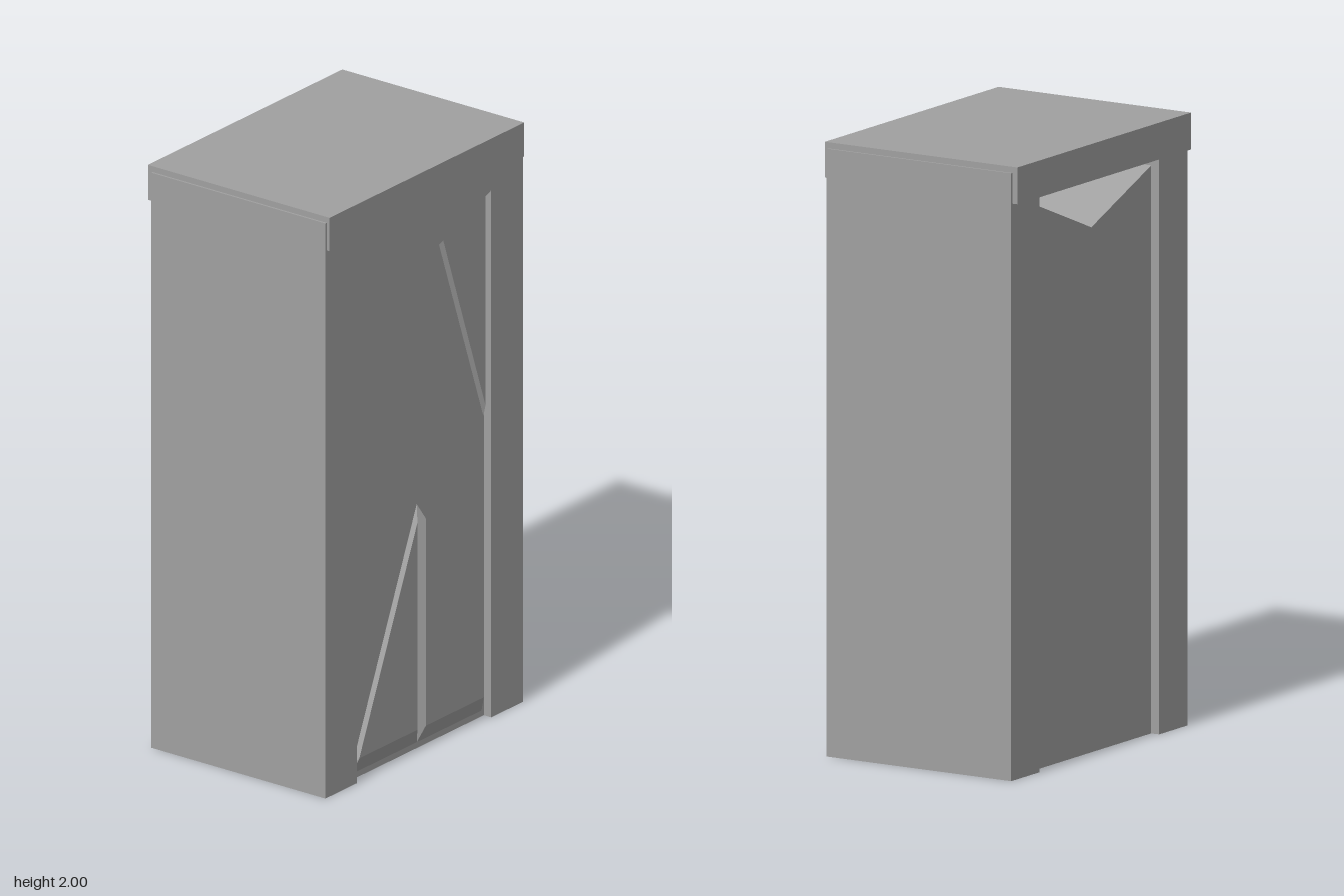
import * as THREE from 'three';

const FRONT = 0.355, BACK = -0.347;          // pillar faces
const PANEL_FRONT = 0.325, PANEL_BACK = -0.317; // recessed panel faces

const toShape = (pts) => new THREE.Shape(pts.map(([x, y]) => new THREE.Vector2(x, y)));

// Straight plate: outline extruded from z0 to z1
function slab(pts, z0, z1) {
  const geo = new THREE.ExtrudeGeometry(toShape(pts), { depth: z1 - z0, bevelEnabled: false });
  return geo.translate(0, 0, z0);
}

// Bevelled plate: base outline at z0 joined to a smaller face outline at z1
// (both counter-clockwise seen from the front)
function bevelled(base, face, z0, z1) {
  const pos = [];
  const n = base.length;
  const b = (i) => [...base[i % n], z0];
  const f = (i) => [...face[i % n], z1];
  for (let i = 0; i < n; i++) {
    pos.push(...b(i), ...b(i + 1), ...f(i + 1), ...b(i), ...f(i + 1), ...f(i));
    if (i > 0 && i < n - 1) pos.push(...f(0), ...f(i), ...f(i + 1));
  }
  const geo = new THREE.BufferGeometry();
  geo.setAttribute('position', new THREE.Float32BufferAttribute(pos, 3));
  geo.computeVertexNormals();
  return geo;
}

// Outline for one side; mirrored outlines are reversed to stay counter-clockwise
function sided(pts, s) {
  const out = pts.map(([x, y]) => [x * s, y]);
  return s < 0 ? out.reverse() : out;
}

export function createModel() {
  const group = new THREE.Group();
  const grey = new THREE.MeshStandardMaterial({ color: 0xa0a0a0 });
  grey.name = 'grey';
  const add = (name, geo) => {
    const mesh = new THREE.Mesh(geo, grey);
    mesh.name = name;
    group.add(mesh);
    return mesh;
  };

  // Central body with a valley-shaped top
  add('centralBody', slab(
    [[-0.35, 0], [0.35, 0], [0.35, 1.85], [0, 1.71], [-0.35, 1.85]],
    PANEL_BACK, PANEL_FRONT));

  // Roof: flat slab, pointed front lip and straight back lip
  add('roofSlab', new THREE.BoxGeometry(1.016, 0.02, 0.732).translate(0, 1.99, 0));
  add('frontLip', slab(
    [[-0.508, 1.98], [-0.508, 1.885], [0, 1.7], [0.508, 1.885], [0.508, 1.98]],
    FRONT, 0.366));
  add('backLip', new THREE.BoxGeometry(1.016, 0.1, 0.019).translate(0, 1.93, -0.3565));

  for (const s of [-1, 1]) {
    const side = s > 0 ? 'left' : 'right';

    // Side pillar, full depth
    add(side + 'Pillar', new THREE.BoxGeometry(0.165, 1.98, FRONT - BACK)
      .translate(s * 0.4325, 0.99, (FRONT + BACK) / 2));

    // Upper triangular plate beside the pillar
    add(side + 'UpperTriangle', bevelled(
      sided([[0.348, 1.03], [0.348, 1.845], [0.098, 1.748]], s),
      sided([[0.338, 1.075], [0.338, 1.835], [0.107, 1.745]], s),
      PANEL_FRONT, 0.341));

    // Lower half triangle, bevelled along the middle and the bottom
    add(side + 'LowerTriangle', bevelled(
      sided([[0, 0.84], [0, 0.02], [0.338, 0.02], [0.338, 0.045]], s),
      sided([[0.022, 0.788], [0.022, 0.075], [0.3245, 0.075], [0.3245, 0.0765]], s),
      PANEL_FRONT, 0.345));
  }

  return group;
}
